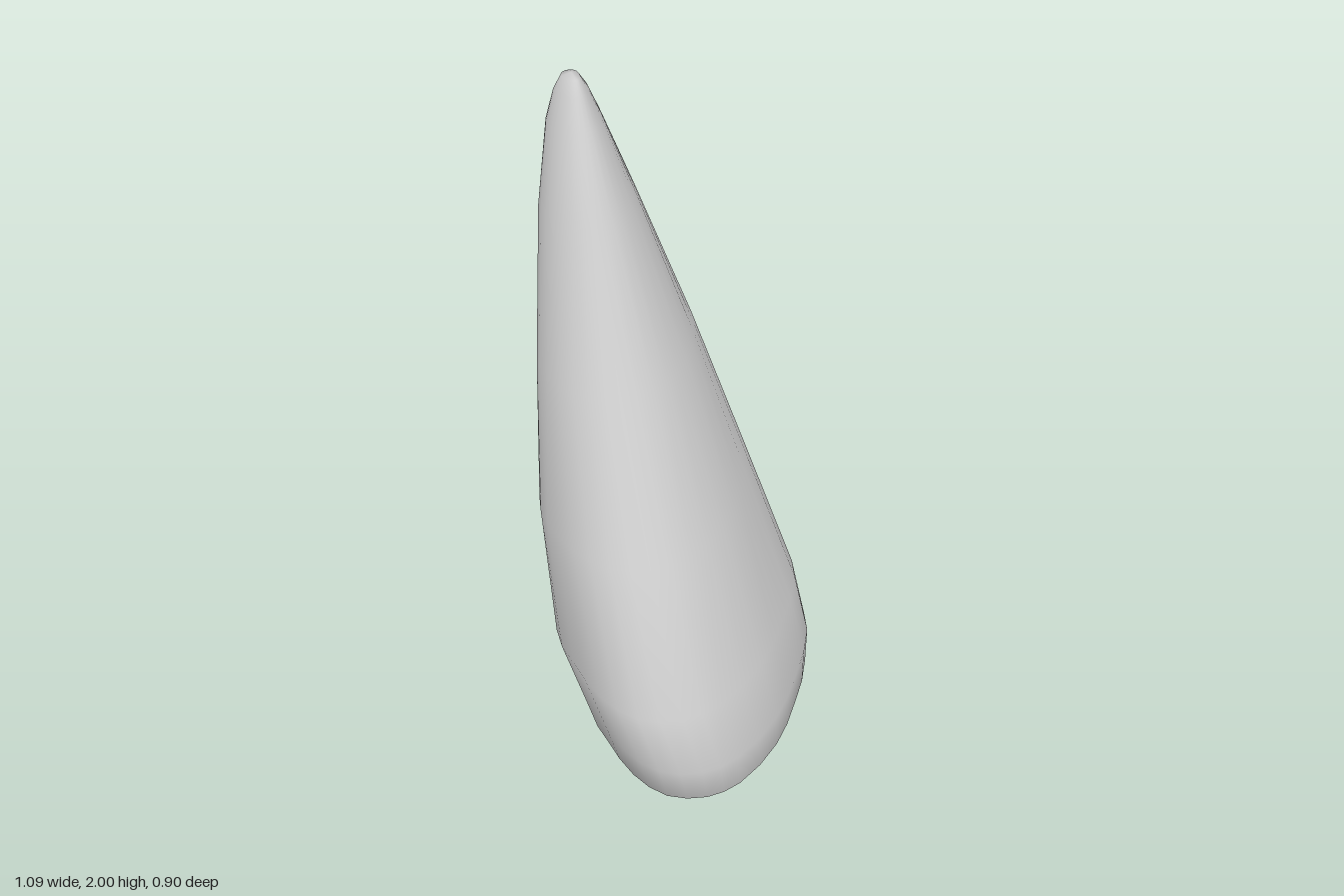
import * as THREE from 'three';

// Heights with the extent of each cross-section: y, xMin, xMax, zMin, zMax
const levels = [
  [0.012, -0.08, 0.38, -0.26, 0.23],
  [0.03, -0.125, 0.5, -0.36, 0.32],
  [0.07, -0.16, 0.54, -0.435, 0.385],
  [0.2, -0.19, 0.543, -0.447, 0.415],
  [0.4, -0.26, 0.485, -0.435, 0.45],
  [0.8, -0.375, 0.27, -0.38, 0.387],
  [1.22, -0.45, 0.01, -0.305, 0.27],
  [1.65, -0.525, -0.215, -0.18, 0.15],
  [1.87, -0.545, -0.35, -0.11, 0.07],
  [1.95, -0.53, -0.4, -0.075, 0.035],
  [1.99, -0.51, -0.43, -0.045, 0.01],
];

// Outlines in unit coordinates, running from the left side through the front
const lowOutline = [[1, 0.41], [0.945, 0.69], [0.72, 0.92], [0.35, 1], [-0.1, 0.96], [-0.5, 0.87], [-0.88, 0.4],
  [-1, -0.35], [-0.8, -0.88], [-0.15, -1], [0.23, -0.84], [0.59, -0.45], [0.86, -0.06]];
const highOutline = [[1, 0.3], [0.92, 0.65], [0.65, 0.88], [0.2, 1], [-0.3, 0.97], [-0.62, 0.81], [-0.95, 0.22],
  [-1, -0.4], [-0.8, -0.9], [-0.4, -1], [0.05, -0.82], [0.5, -0.52], [0.85, -0.1]];

const SIDES = 26;

// One ring: the two outlines blended by height, rounded and fitted to the extent
function ring([y, x0, x1, z0, z1]) {
  const t = THREE.MathUtils.smoothstep(y, 0.4, 1.2);
  const points = lowOutline.map(([u, v], i) => new THREE.Vector3(
    THREE.MathUtils.lerp(u, highOutline[i][0], t), 0, THREE.MathUtils.lerp(v, highOutline[i][1], t)));
  const loop = new THREE.CatmullRomCurve3(points, true).getPoints(SIDES).slice(0, SIDES);
  return loop.map((p) => [
    (x0 + x1) / 2 + p.x * (x1 - x0) / 2, y, (z0 + z1) / 2 + p.z * (z1 - z0) / 2]);
}

function hornGeometry() {
  const positions = levels.flatMap(ring).flat();
  const index = [];
  // Side wall between neighbouring rings
  for (let r = 0; r < levels.length - 1; r++) {
    for (let i = 0; i < SIDES; i++) {
      const a = r * SIDES + i, b = r * SIDES + (i + 1) % SIDES;
      index.push(a, a + SIDES, b, b, a + SIDES, b + SIDES);
    }
  }
  // Rounded base and tip, each closed to a centre point
  const base = levels.length * SIDES, tip = base + 1, last = (levels.length - 1) * SIDES;
  positions.push(0.13, 0, -0.01, -0.47, 2, -0.015);
  for (let i = 0; i < SIDES; i++) {
    const j = (i + 1) % SIDES;
    index.push(base, i, j, tip, last + j, last + i);
  }
  const geometry = new THREE.BufferGeometry();
  geometry.setAttribute('position', new THREE.Float32BufferAttribute(positions, 3));
  geometry.setIndex(index);
  geometry.computeVertexNormals();
  return geometry;
}

export function createModel() {
  const group = new THREE.Group();
  group.name = 'horn';
  const horn = new THREE.Mesh(hornGeometry(), new THREE.MeshStandardMaterial({ color: 0xcccccc }));
  horn.name = 'hornBody';
  group.add(horn);
  return group;
}
